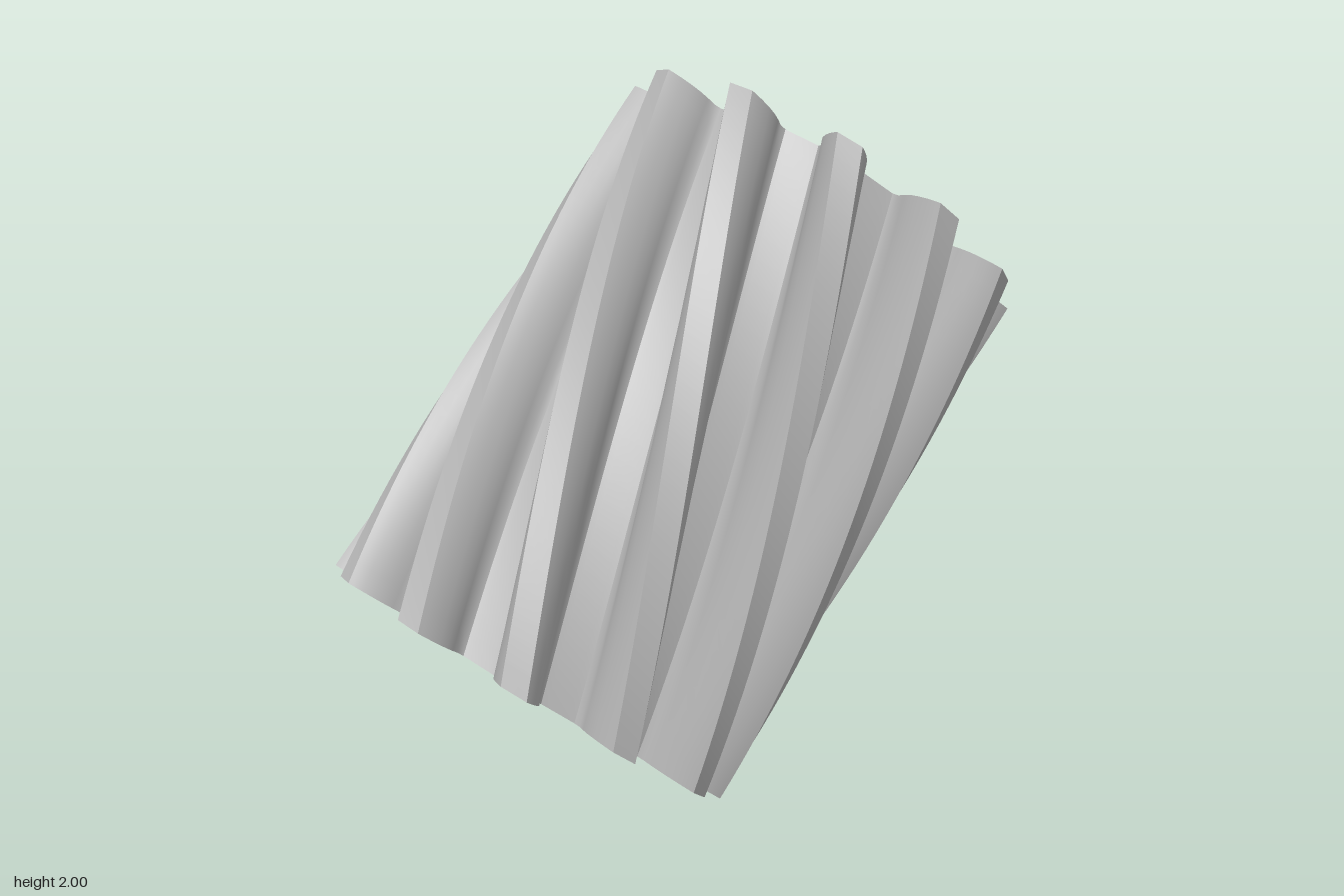
import * as THREE from 'three';
import { toCreasedNormals } from 'three/addons/utils/BufferGeometryUtils.js';

const TEETH = 12;
const LENGTH = 1.58;
const TWIST = Math.PI / 3; // turn of the teeth from bottom to top
const TILT = 0.619;
const BORE = 0.237;

// Half of one tooth: [distance from axis, half width], root to tip
const FLANK = [
  [0.432, 0.085], [0.438, 0.066], [0.455, 0.058], [0.485, 0.063],
  [0.515, 0.065], [0.545, 0.061], [0.575, 0.053], [0.6, 0.043], [0.613, 0.036],
];

function gearShape() {
  const points = [];
  for (let i = 0; i < TEETH; i++) {
    const a = (i / TEETH) * Math.PI * 2;
    const add = (r, w) => points.push(new THREE.Vector2(
      r * Math.cos(a) - w * Math.sin(a),
      r * Math.sin(a) + w * Math.cos(a)));
    FLANK.forEach(([r, w]) => add(r, -w));
    [...FLANK].reverse().forEach(([r, w]) => add(r, w));
  }
  const shape = new THREE.Shape(points);
  shape.holes.push(new THREE.Path().absarc(0, 0, BORE, 0, Math.PI * 2, true));
  return shape;
}

// Straight gear, twisted about its own axis
function helicalGear() {
  const geometry = new THREE.ExtrudeGeometry(gearShape(), {
    depth: LENGTH, steps: 28, curveSegments: 64, bevelEnabled: false,
  });
  geometry.rotateX(-Math.PI / 2);
  const position = geometry.attributes.position;
  const axis = new THREE.Vector3(0, 1, 0);
  const v = new THREE.Vector3();
  for (let i = 0; i < position.count; i++) {
    v.fromBufferAttribute(position, i);
    v.applyAxisAngle(axis, -TWIST * v.y / LENGTH);
    position.setXYZ(i, v.x, v.y - LENGTH / 2, v.z);
  }
  return toCreasedNormals(geometry, 0.7);
}

export function createModel() {
  const steel = new THREE.MeshStandardMaterial({ color: 0xb4b4b4 });
  steel.name = 'steel grey';

  const gear = new THREE.Mesh(helicalGear(), steel);
  gear.name = 'helicalGear';
  gear.rotation.z = -TILT;
  gear.position.y = 1;

  const model = new THREE.Group();
  model.name = 'tiltedHelicalGear';
  model.add(gear);
  return model;
}
